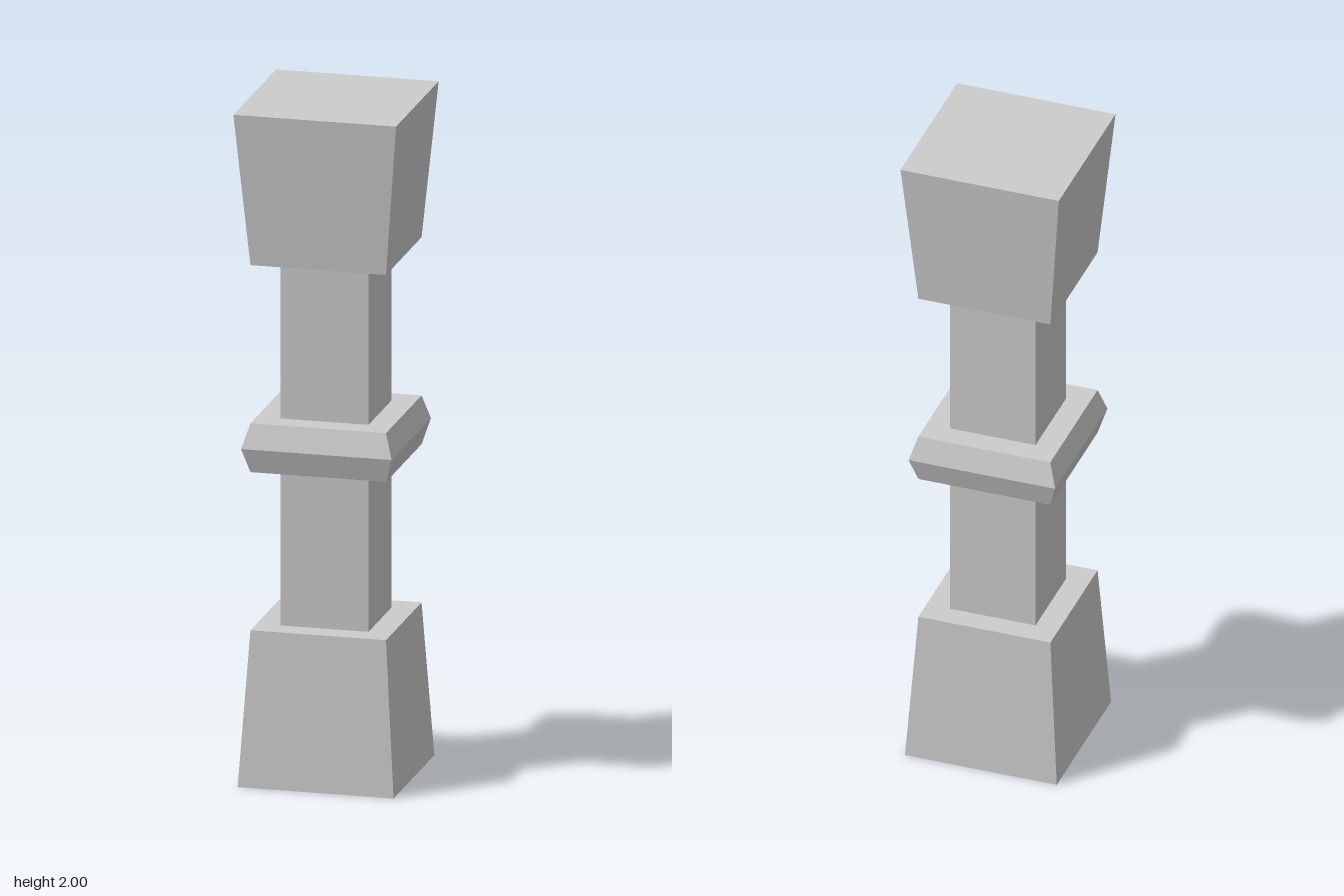
import * as THREE from 'three';

const material = new THREE.MeshStandardMaterial({
  color: 0xcccccc, flatShading: true, side: THREE.DoubleSide,
});

// Square shell from a bottom-to-top profile of [half width, height]
function squareShell(name, profile) {
  const points = profile.map(([half, y]) => new THREE.Vector2(half * Math.SQRT2, y));
  const lathe = new THREE.LatheGeometry(points, 4, Math.PI / 4);
  const geometry = lathe.toNonIndexed();
  geometry.computeVertexNormals();
  const mesh = new THREE.Mesh(geometry, material);
  mesh.name = name;
  return mesh;
}

export function createModel() {
  const group = new THREE.Group();
  group.name = 'pillar';
  const shaft = 0.13;

  group.add(
    // Tapered foot, open underneath, with a ledge around the shaft
    squareShell('base', [[0.23, 0], [0.2, 0.46], [shaft, 0.46]]),
    squareShell('lowerShaft', [[shaft, 0.46], [shaft, 0.93]]),
    // Bevelled band around the middle
    squareShell('collar', [[shaft, 0.93], [0.2, 0.93], [0.222, 1.003], [0.2, 1.075], [shaft, 1.075]]),
    squareShell('upperShaft', [[shaft, 1.075], [shaft, 1.545]]),
    // Flared head, closed on top
    squareShell('capital', [[shaft, 1.545], [0.2, 1.545], [0.24, 2], [0, 2]]),
  );
  return group;
}
